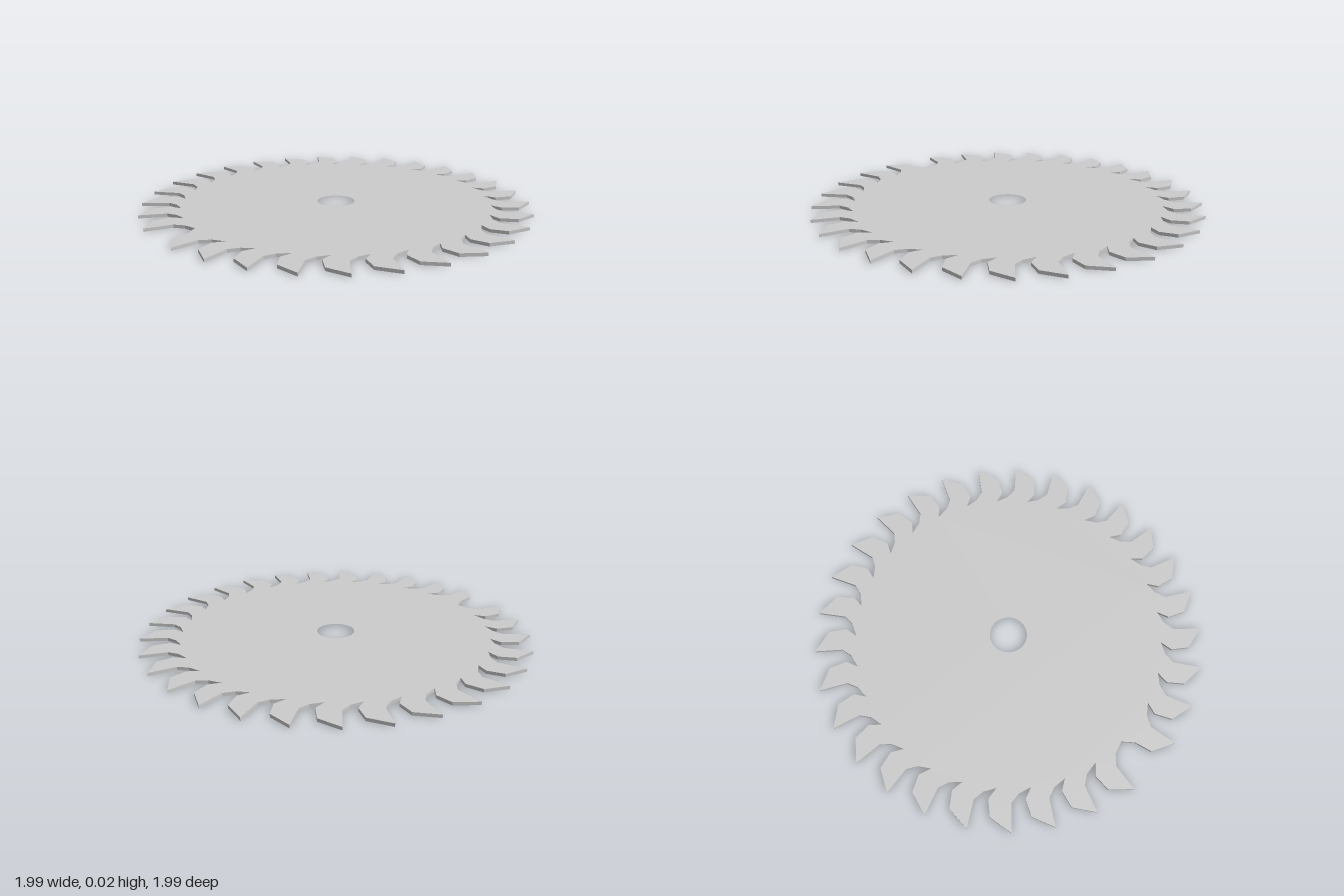
import * as THREE from 'three';

const TEETH = 29;
const PITCH = 12.22;        // degrees between teeth, leaving one wider gap
const FIRST = 103.5;        // angle of the first tooth tip
const THICKNESS = 0.016;

// One tooth as [radius, degrees from the tip]: gullet, curved face, tip, back
const TOOTH = [
  [0.789, -7.3], [0.814, -2.8], [0.858, -0.2],
  [0.998, 0],
  [0.93, 6.25], [0.843, 7.4],
];

function createBladeShape() {
  const points = [];
  for (let i = 0; i < TEETH; i++) {
    for (const [r, offset] of TOOTH) {
      const a = THREE.MathUtils.degToRad(FIRST + i * PITCH + offset);
      points.push(new THREE.Vector2(r * Math.cos(a), -r * Math.sin(a)));
    }
  }
  const shape = new THREE.Shape(points);

  // Arbor hole
  const hole = new THREE.Path();
  hole.absarc(0, 0, 0.096, 0, Math.PI * 2, true);
  shape.holes.push(hole);
  return shape;
}

export function createModel() {
  const group = new THREE.Group();
  group.name = 'circularSawBlade';

  // Flat toothed disc lying on the ground
  const geometry = new THREE.ExtrudeGeometry(createBladeShape(), {
    depth: THICKNESS, bevelEnabled: false, curveSegments: 32,
  });
  geometry.rotateX(-Math.PI / 2);

  // Centre the uneven outline by its extents
  geometry.computeBoundingBox();
  const c = geometry.boundingBox.getCenter(new THREE.Vector3());
  geometry.translate(-c.x, 0, -c.z);

  const blade = new THREE.Mesh(
    geometry,
    new THREE.MeshStandardMaterial({ color: 0xcccccc, flatShading: true }),
  );
  blade.name = 'toothedBlade';
  group.add(blade);
  return group;
}
